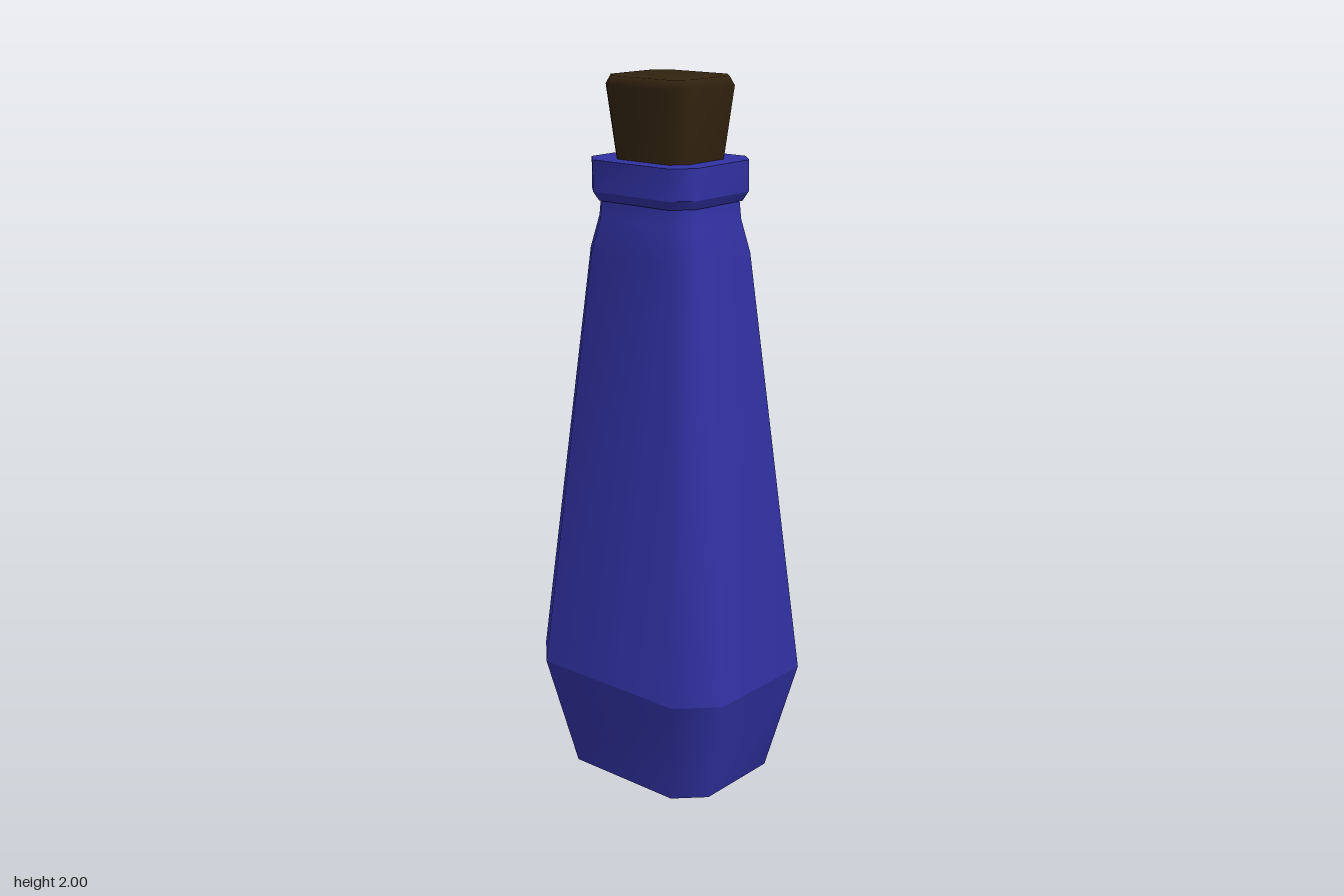
import * as THREE from 'three';

const glass = new THREE.MeshStandardMaterial({ name: 'blue glass', color: 0x3131a3 });
const corkMat = new THREE.MeshStandardMaterial({ name: 'dark cork', color: 0x31230f });

// Loft smooth-shaded chamfered rectangles; each ring is [y, halfX, halfZ, cornerCut].
// A ring of zero size closes an end.
function loft(rings) {
  const pos = [], index = [];
  for (const [y, w, d, c] of rings) {
    const corners = [
      [w, d - c], [w, c - d], [w - c, -d], [c - w, -d],
      [-w, c - d], [-w, d - c], [c - w, d], [w - c, d],
    ];
    for (const [x, z] of corners) pos.push(x, y, z);
  }
  for (let r = 0; r < rings.length - 1; r++) {
    for (let i = 0; i < 8; i++) {
      const a = r * 8 + i, b = r * 8 + (i + 1) % 8;
      if (rings[r][1] > 0) index.push(a, b, b + 8);
      if (rings[r + 1][1] > 0) index.push(a, b + 8, a + 8);
    }
  }
  const geo = new THREE.BufferGeometry();
  geo.setAttribute('position', new THREE.Float32BufferAttribute(pos, 3));
  geo.setIndex(index);
  geo.computeVertexNormals();
  return geo;
}

export function createModel() {
  const model = new THREE.Group();
  model.name = 'corkedBottle';
  const add = (name, material, ...rings) => {
    const mesh = new THREE.Mesh(loft(rings), material);
    mesh.name = name;
    model.add(mesh);
  };

  // Rings shared by neighbouring parts, so that creases stay sharp
  const foot = [0, 0.257, 0.207, 0.076];
  const belly = [0.325, 0.34, 0.273, 0.1];
  const neckTop = [1.67, 0.166, 0.144, 0.049];
  const lipLow = [1.67, 0.172, 0.15, 0.05];
  const lipEdge = [1.695, 0.185, 0.163, 0.053];
  const lipTop = [1.78, 0.185, 0.163, 0.053];

  // Bottle
  add('base', glass, [0, 0, 0, 0], foot);
  add('lowerBody', glass, foot, belly);
  add('upperBody', glass, belly, [1.53, 0.193, 0.166, 0.056], [1.62, 0.17, 0.148, 0.05], neckTop);

  // Collar
  add('collarUnderside', glass, neckTop, lipLow);
  add('collarBevel', glass, lipLow, lipEdge);
  add('collarBand', glass, lipEdge, lipTop);
  add('collarTop', glass, lipTop, [1.78, 0, 0, 0]);

  // Stopper
  add('cork', corkMat,
    [1.76, 0.124, 0.109, 0.036], [1.975, 0.15, 0.133, 0.044],
    [2.0, 0.138, 0.121, 0.04], [2.0, 0, 0, 0]);

  return model;
}
